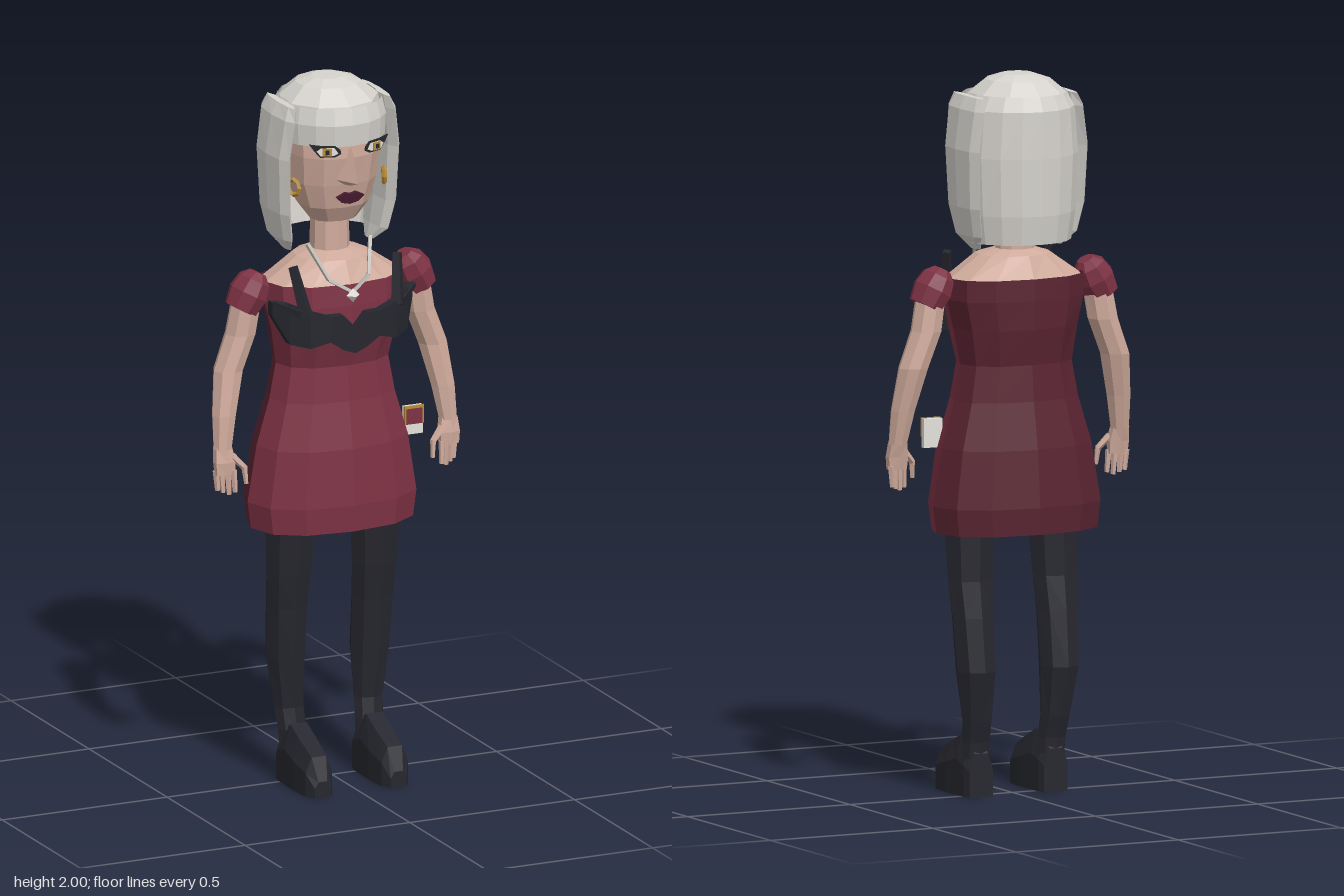
import * as THREE from 'three';

const mat = (name, color, side = THREE.FrontSide) => {
  const m = new THREE.MeshStandardMaterial({ color, side });
  m.name = name;
  return m;
};

// Surface through a list of rings (each an array of points), capped at both ends
function loft(rings, capped = true, closed = true) {
  const n = rings[0].length, pos = rings.flat(2), idx = [];
  for (let i = 0; i < rings.length - 1; i++) {
    for (let j = 0; j < (closed ? n : n - 1); j++) {
      const k = (j + 1) % n, a = i * n, b = a + n;
      idx.push(a + j, a + k, b + k, a + j, b + k, b + j);
    }
  }
  if (capped) {
    [0, rings.length - 1].forEach((r, end) => {
      const c = pos.length / 3;
      for (let a = 0; a < 3; a++) pos.push(rings[r].reduce((s, p) => s + p[a], 0) / n);
      for (let j = 0; j < n; j++) {
        const p = r * n + j, q = r * n + (j + 1) % n;
        idx.push(c, end ? p : q, end ? q : p);
      }
    });
  }
  const g = new THREE.BufferGeometry();
  g.setAttribute('position', new THREE.Float32BufferAttribute(pos, 3));
  g.setIndex(idx);
  return g;
}

// Level ring; a power under 1 makes it squarer, from/to in radians give an arc
function ring([y, cx, cz, rx, rz], n, pow = 1, from = 0, to = Math.PI * 2) {
  const full = to - from > 6.28, f = v => Math.sign(v) * Math.abs(v) ** pow;
  return Array.from({ length: full ? n : n + 1 }, (_, j) => {
    const t = from + (to - from) * j / n;
    return [cx + rx * f(Math.sin(t)), y, cz + rz * f(Math.cos(t))];
  });
}
const body = (rows, n, pow) => loft(rows.map(r => ring(r, n, pow)));
const shell = (rows, n, from, to, pow) => loft(rows.map(r => ring(r, n, pow, from, to)), false, false);

// Straight rod between two points
function rod(a, b, r0, r1 = r0, sides = 5) {
  const p = new THREE.Vector3(...a), d = new THREE.Vector3(...b).sub(p);
  const g = new THREE.CylinderGeometry(r1, r0, d.length(), sides);
  g.applyQuaternion(new THREE.Quaternion().setFromUnitVectors(new THREE.Vector3(0, 1, 0), d.clone().normalize()));
  return g.translate(...p.addScaledVector(d, 0.5).toArray());
}
const box = (w, h, d, x, y, z) => new THREE.BoxGeometry(w, h, d).translate(x, y, z);

// Thin flat plate from an outline
const plate = (points, depth) => new THREE.ExtrudeGeometry(
  new THREE.Shape(points.map(p => new THREE.Vector2(...p))), { depth, bevelEnabled: false });

// Mirror across x = 0, keeping faces outward
function mirrored(g) {
  const m = g.clone().scale(-1, 1, 1), p = m.attributes.position;
  const v = new THREE.Vector3(), w = new THREE.Vector3();
  for (let i = 0; i < p.count; i += 3) {
    v.fromBufferAttribute(p, i + 1);
    w.fromBufferAttribute(p, i + 2);
    p.setXYZ(i + 1, w.x, w.y, w.z);
    p.setXYZ(i + 2, v.x, v.y, v.z);
  }
  return m;
}

export function createModel() {
  const model = new THREE.Group();
  model.name = 'woman';
  const hair = mat('silver hair', 0xd6d3cd, THREE.DoubleSide);
  const skin = mat('skin', 0xd0ab9c);
  const red = mat('wine red', 0x7e3244, THREE.DoubleSide);
  const darkRed = mat('dark wine red', 0x5a2431, THREE.DoubleSide);
  const black = mat('charcoal', 0x26272e);
  const gold = mat('gold', 0xb98d3a);
  const lip = mat('dark plum', 0x4a1b30);
  const white = mat('white', 0xe4e2dc);
  const silver = mat('silver', 0xb8b6b0);

  const add = (name, geo, m) => {
    const g = geo.index ? geo.toNonIndexed() : geo;
    g.computeVertexNormals();
    const mesh = new THREE.Mesh(g, m);
    mesh.name = name;
    model.add(mesh);
    return g;
  };
  const pair = (name, geo, m) => add(name + 'Right', mirrored(add(name + 'Left', geo, m)), m);

  // Dress with a darker back, shoulders and neck
  const dress = [
    [0.735, 0, -0.012, 0.24, 0.152], [0.81, 0, -0.012, 0.25, 0.157], [0.97, 0, -0.01, 0.224, 0.145],
    [1.1, 0, -0.01, 0.185, 0.12], [1.2, 0, -0.01, 0.166, 0.11], [1.3, 0, -0.002, 0.183, 0.134],
    [1.38, 0, -0.004, 0.203, 0.134], [1.44, 0, -0.006, 0.203, 0.13]];
  const q = Math.PI / 2;
  add('dressFront', shell(dress, 6, -q, q, 0.85), red);
  add('dressBack', shell(dress, 6, q, 3 * q, 0.85), darkRed);
  add('dressUnderside', body([[0.737, 0, -0.012, 0.236, 0.149], [0.76, 0, -0.012, 0.236, 0.149]], 12, 0.85), darkRed);
  add('shoulders', body([[1.435, 0, -0.006, 0.2, 0.128], [1.5, 0, -0.006, 0.105, 0.095],
    [1.515, 0, -0.015, 0.056, 0.055]], 12, 0.9), skin);
  add('neck', body([[1.5, 0, -0.015, 0.056, 0.055], [1.64, 0, -0.015, 0.053, 0.052]], 10), skin);

  // Sleeves, arms and hands
  pair('sleeve', body([[-0.05, 0, 0, 0.047, 0.049], [0, 0, 0, 0.056, 0.058], [0.04, 0, 0, 0.046, 0.05],
    [0.062, 0, 0, 0.024, 0.028]], 8).rotateZ(0.5).translate(0.25, 1.412, -0.008), red);
  pair('arm', body([[0.985, 0.342, 0.022, 0.027, 0.025], [1.08, 0.332, 0.01, 0.035, 0.034],
    [1.2, 0.31, -0.01, 0.043, 0.042], [1.3, 0.272, -0.012, 0.044, 0.045],
    [1.4, 0.255, -0.008, 0.042, 0.045]], 8), skin);
  pair('palm', body([[0.915, 0.34, 0.032, 0.031, 0.018], [0.95, 0.34, 0.03, 0.034, 0.022],
    [0.99, 0.342, 0.022, 0.027, 0.024]], 6), skin);
  [0.317, 0.333, 0.348, 0.362].forEach((x, i) =>
    pair('finger' + (i + 1), rod([x, 0.925, 0.038 - i * 0.005], [x - 0.004, 0.856 + 0.006 * Math.abs(i - 1), 0.042 - i * 0.006],
      0.01, 0.007), skin));
  pair('thumb', rod([0.318, 0.965, 0.035], [0.286, 0.93, 0.045], 0.011, 0.009), skin);
  pair('thumbTip', rod([0.287, 0.935, 0.045], [0.283, 0.885, 0.05], 0.009, 0.006), skin);

  // Legs and shoes
  pair('leg', body([[0.1, 0.115, -0.006, 0.042, 0.03], [0.15, 0.117, -0.008, 0.043, 0.034],
    [0.21, 0.12, -0.022, 0.044, 0.038], [0.35, 0.128, -0.03, 0.056, 0.06],
    [0.5, 0.13, -0.016, 0.061, 0.058], [0.6, 0.13, -0.002, 0.068, 0.058],
    [0.78, 0.128, 0.007, 0.077, 0.068]], 8), black);
  const shoe = [[-0.038, 0.036, 0.12], [-0.015, 0.043, 0.145], [0.03, 0.044, 0.17],
    [0.09, 0.046, 0.142], [0.16, 0.04, 0.11], [0.186, 0.024, 0.045]];
  pair('shoe', loft(shoe.map(([z, w, h]) => [[0.115 + w, 0, z], [0.115 + w, h * 0.6, z], [0.115 + w * 0.55, h, z],
    [0.115 - w * 0.55, h, z], [0.115 - w, h * 0.6, z], [0.115 - w, 0, z]])), black);

  // Folded neckline band and loose straps: x, top, bottom, front z
  const half = [[0.035, 1.362, 1.262, 0.148], [0.075, 1.362, 1.29, 0.152], [0.13, 1.38, 1.275, 0.14],
    [0.178, 1.4, 1.285, 0.108], [0.212, 1.398, 1.36, 0.068]];
  const columns = [...half.map(([x, ...r]) => [-x, ...r]).reverse(), [0, 1.325, 1.25, 0.152], ...half];
  add('necklineBand', loft(columns.map(([x, t, b, z]) =>
    [[x, t, z - 0.03], [x, t, z], [x, b, z], [x, b, z - 0.03]])), black);
  pair('strap', rod([0.138, 1.365, 0.13], [0.158, 1.5, 0.085], 0.02, 0.014, 4), black);
  pair('strapFold', rod([0.15, 1.375, 0.125], [0.212, 1.4, 0.075], 0.014, 0.01, 4), black);

  // Necklace
  pair('necklaceUpper', rod([0.095, 1.545, 0.045], [0.06, 1.455, 0.108], 0.007, 0.006, 4), silver);
  pair('necklaceLower', rod([0.06, 1.455, 0.108], [0, 1.42, 0.134], 0.006, 0.006, 4), silver);
  add('pendant', new THREE.OctahedronGeometry(0.02).translate(0, 1.412, 0.136), white);

  // Head and nose
  add('head', body([[1.605, 0, 0.0, 0.066, 0.062], [1.65, 0, 0, 0.1, 0.088], [1.72, 0, -0.01, 0.124, 0.116],
    [1.8, 0, -0.01, 0.13, 0.13], [1.88, 0, -0.02, 0.13, 0.135], [1.95, 0, -0.03, 0.1, 0.1]], 12, 0.85), skin);
  add('nose', body([[1.722, 0, 0.1, 0.014, 0.022], [1.738, 0, 0.1, 0.036, 0.065],
    [1.83, 0, 0.1, 0.014, 0.022]], 4), skin);

  // Eyes, built up in thin plates with upswept outer corners
  const eye = (name, points, layer, m) => pair(name, plate(points, 0.004).rotateY(0.35)
    .translate(0.07 + layer * 0.0012, 1.83, 0.122 + layer * 0.0032), m);
  const square = (x, y, w, h) => [[x - w, y - h], [x + w, y - h], [x + w, y + h], [x - w, y + h]];
  eye('eyeOutline', [[-0.037, -0.008], [-0.02, -0.017], [0.022, -0.017], [0.038, 0.002], [0.052, 0.021],
    [0.02, 0.016], [-0.02, 0.015], [-0.035, 0.003]], 0, black);
  eye('eyeWhite', [[-0.029, -0.006], [-0.016, -0.012], [0.02, -0.012], [0.031, 0.001], [0.019, 0.01],
    [-0.018, 0.01]], 1, white);
  eye('iris', square(0.002, -0.001, 0.013, 0.011), 2, gold);
  eye('pupil', square(0.002, -0.001, 0.005, 0.006), 3, black);

  // Lips
  add('lips', plate([[-0.042, 0.002], [-0.025, -0.014], [0, -0.02], [0.025, -0.014], [0.042, 0.002],
    [0.016, 0.015], [0, 0.01], [-0.016, 0.015]], 0.009).rotateX(0.2).translate(0, 1.69, 0.112), lip);

  // Earrings
  pair('earring', new THREE.TorusGeometry(0.022, 0.007, 4, 8).rotateY(1.2).translate(0.137, 1.715, 0.045), gold);

  // Hair: crown, fringe, back and side locks
  add('hairCrown', body([[1.9, 0, -0.025, 0.148, 0.152], [1.945, 0, -0.027, 0.138, 0.142],
    [1.985, 0, -0.03, 0.09, 0.092], [2.0, 0, -0.03, 0.045, 0.045]], 10), hair);
  add('hairFringe', shell([[1.84, 0, -0.02, 0.155, 0.157], [1.9, 0, -0.02, 0.157, 0.161],
    [1.945, 0, -0.022, 0.147, 0.15]], 8, -1.35, 1.35), hair);
  add('hairBack', shell([[1.54, 0, -0.03, 0.15, 0.14], [1.62, 0, -0.03, 0.162, 0.151],
    [1.78, 0, -0.03, 0.17, 0.156], [1.91, 0, -0.03, 0.158, 0.155],
    [1.95, 0, -0.03, 0.135, 0.138]], 10, 1.35, Math.PI * 2 - 1.35), hair);
  pair('hairSideLock', body([[1.52, 0.125, -0.025, 0.008, 0.025], [1.56, 0.146, -0.025, 0.02, 0.075],
    [1.64, 0.16, -0.025, 0.023, 0.092], [1.8, 0.165, -0.025, 0.025, 0.102],
    [1.91, 0.152, -0.022, 0.022, 0.108], [1.945, 0.144, -0.02, 0.012, 0.09]], 8), hair);

  // Small case at the left hip: pale body, gold-edged red front panel
  add('caseBody', box(0.056, 0.08, 0.016, 0.22, 1.005, 0.054), white);
  add('caseTrim', box(0.058, 0.052, 0.005, 0.22, 1.021, 0.063), gold);
  add('casePanel', box(0.048, 0.044, 0.004, 0.22, 1.017, 0.065), red);
  return model;
}
